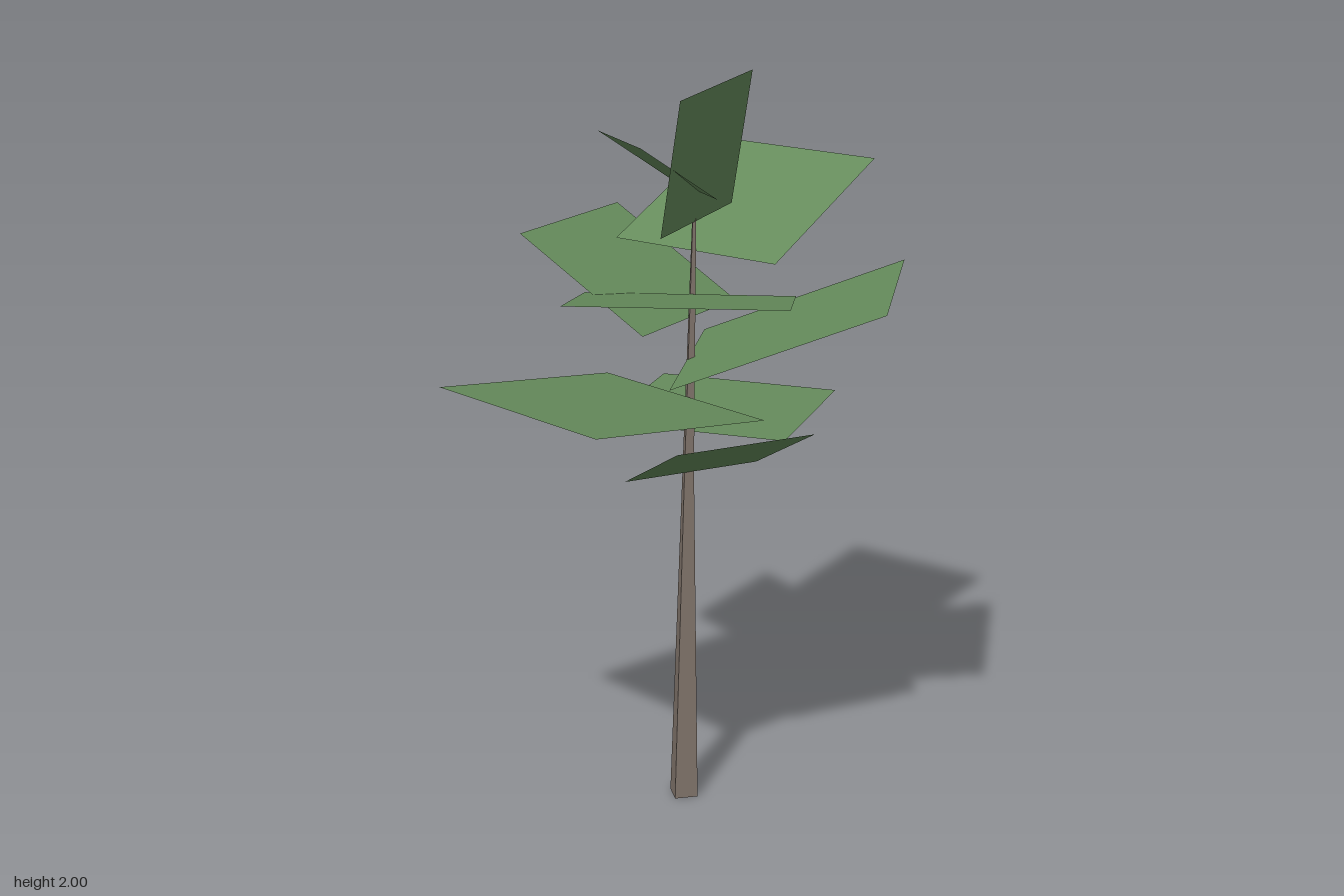
import * as THREE from 'three';

const bark = new THREE.MeshStandardMaterial({ name: 'bark brown', color: 0x7f736a });
const green = new THREE.MeshStandardMaterial({ name: 'leaf green', color: 0x668c5c, side: THREE.DoubleSide });

// Flat rectangular leaf card: outer edge from a to b, inner edge starting at c (next to a)
function leafCard(a, b, c) {
  const [A, B, C] = [a, b, c].map((p) => new THREE.Vector3(...p));
  const D = B.clone().add(C).sub(A);
  // keep the front face upwards
  const up = B.clone().sub(A).cross(D.clone().sub(A)).y >= 0;
  const loop = up ? [A, B, D, C] : [A, C, D, B];
  const geo = new THREE.BufferGeometry().setFromPoints(loop);
  geo.setIndex([0, 1, 2, 0, 2, 3]);
  geo.computeVertexNormals();
  return new THREE.Mesh(geo, green);
}

// Slightly leaning four-sided trunk, bent through three rings
function trunk() {
  const rings = [
    { x: -0.077, y: 1.75, z: -0.057, r: 0.004 },
    { x: -0.088, y: 0.95, z: -0.037, r: 0.018 },
    { x: -0.088, y: 0, z: -0.01, r: 0.045 },
  ];
  let geo = new THREE.CylinderGeometry(1, 1, 2, 4, 2);
  const p = geo.attributes.position;
  for (let i = 0; i < p.count; i++) {
    const k = rings[Math.round(1 - p.getY(i))];
    p.setXYZ(i, k.x + p.getX(i) * k.r, k.y, k.z + p.getZ(i) * k.r);
  }
  geo = geo.toNonIndexed();
  geo.computeVertexNormals();
  const mesh = new THREE.Mesh(geo, bark);
  mesh.name = 'trunk';
  return mesh;
}

export function createModel() {
  const tree = new THREE.Group();
  tree.name = 'tree';
  tree.add(trunk());

  // Leaf cards from the lowest to the top
  const cards = {
    lowLeftLeaf: [[0.11, 1.12, 0.32], [0.315, 1.12, -0.01], [-0.18, 0.94, 0.13]],
    lowBackLeaf: [[-0.46, 1.04, -0.485], [0.04, 1.04, -0.605], [-0.345, 1.04, -0.01]],
    frontRightLeaf: [[-0.525, 1.23, 0.46], [0.06, 1.23, 0.6], [-0.39, 1.15, -0.1]],
    backLeftLeaf: [[0.285, 1.465, -0.535], [0.52, 1.465, 0], [-0.21, 1.25, -0.31]],
    rightLeaf: [[-0.475, 1.58, -0.28], [-0.477, 1.58, 0.165], [-0.09, 1.36, -0.275]],
    frontLeftLeaf: [[-0.07, 1.53, 0.555], [0.417, 1.53, 0.295], [-0.32, 1.43, 0.1]],
    backLeaf: [[-0.31, 1.735, -0.543], [0.198, 1.735, -0.515], [-0.335, 1.54, -0.07]],
    topRightLeaf: [[-0.307, 1.85, 0.05], [-0.08, 1.85, 0.19], [-0.193, 1.7, -0.13]],
    topLeaf: [[0.01, 2, -0.195], [0.01, 1.97, 0.147], [-0.075, 1.635, -0.232]],
  };
  for (const [name, corners] of Object.entries(cards)) {
    const card = leafCard(...corners);
    card.name = name;
    tree.add(card);
  }
  return tree;
}
